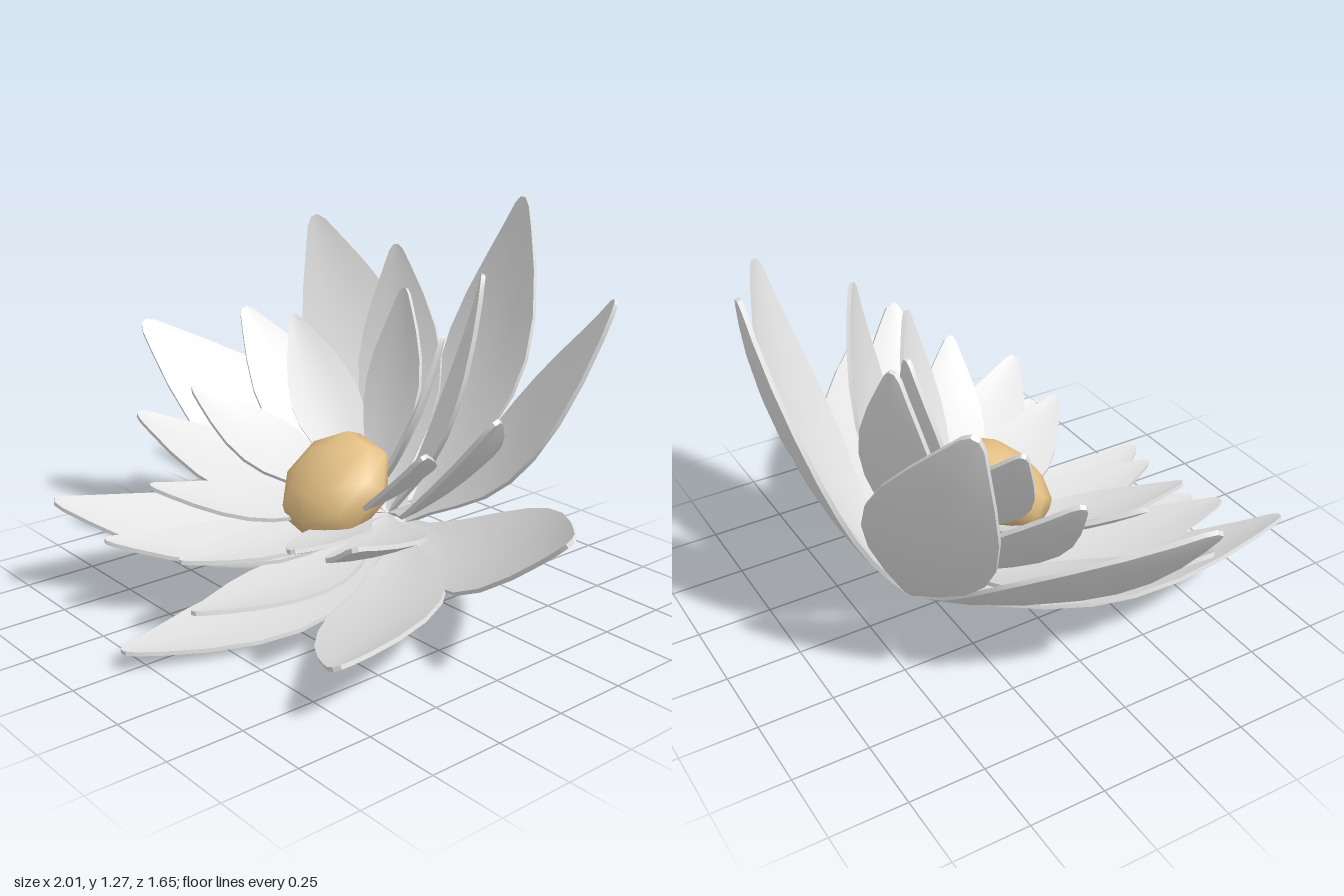
import * as THREE from 'three';
import { toCreasedNormals } from 'three/addons/utils/BufferGeometryUtils.js';

const heartAxis = new THREE.Vector3(0, 1, 1).normalize(); // the bloom tilts forward
const base = new THREE.Vector3(-0.08, 0.15, -0.39);
const heartCentre = new THREE.Vector3(0, 0.4, 0);

// Half-width along a petal: [position, share of full half-width]
const outline = [
  [0, 0.05], [0.1, 0.16], [0.22, 0.45], [0.35, 0.78], [0.47, 0.97], [0.58, 1],
  [0.7, 0.87], [0.82, 0.61], [0.92, 0.34], [0.98, 0.17], [1, 0.06],
];
const across = [-1, -0.5, 0, 0.5, 1];

// Thin, slightly cupped blade bending outward from its root to its tip
function petalGeometry(root, tip, facing, halfWidth, bulge) {
  const chord = tip.clone().sub(root);
  const length = chord.length();
  const dir = chord.clone().normalize();
  const out = dir.clone().multiplyScalar(dir.dot(facing)).sub(facing).normalize();
  const side = dir.clone().cross(out);
  const control = root.clone().addScaledVector(chord, 0.48).addScaledVector(out, length * bulge);
  const curve = new THREE.QuadraticBezierCurve3(root, control, tip);
  const positions = [], index = [];
  const ring = across.length * 2;

  for (const [t, share] of outline) {
    const centre = curve.getPoint(t);
    const w = halfWidth * share;
    const thick = 0.007;
    for (const face of [1, -1]) {
      for (const u of across) {
        const s = u * face;
        const p = centre.clone()
          .addScaledVector(side, s * w)
          .addScaledVector(out, face * thick - 0.08 * w * s * s);
        positions.push(p.x, p.y, p.z);
      }
    }
  }
  const rows = outline.length;
  for (let i = 0; i < rows - 1; i++) {
    for (let j = 0; j < ring; j++) {
      const k = (j + 1) % ring;
      const a = i * ring + j, b = i * ring + k;
      index.push(a, b, b + ring, a, b + ring, a + ring);
    }
  }
  const last = (rows - 1) * ring;
  for (let j = 1; j < ring - 1; j++) {
    index.push(0, j + 1, j, last, last + j, last + j + 1);
  }
  const geometry = new THREE.BufferGeometry();
  geometry.setAttribute('position', new THREE.Float32BufferAttribute(positions, 3));
  geometry.setIndex(index);
  return toCreasedNormals(geometry, 0.8);
}

// Petal tips of each whorl, clockwise from the back; rise moves the root towards
// the heart, tilt is the forward lean of the line the petals cup round
const whorls = [
  {
    name: 'outerPetal', rise: 0, tilt: 0.53, halfWidth: 0.205, bulge: 0.155,
    tips: [[0.03, 1.27, -0.82], [0.69, 1.06, -0.52], [1, 0.52, 0], [0.68, 0.2, 0.56],
      [-0.01, 0.06, 0.82], [-0.58, 0.35, 0.72], [-1, 0.78, 0.09], [-0.75, 1.14, -0.52]],
  },
  {
    name: 'middlePetal', rise: 0.25, tilt: 0.33, halfWidth: 0.16, bulge: 0.135,
    tips: [[-0.28, 1.1, -0.51], [0.29, 1.1, -0.36], [0.68, 0.78, -0.03], [0.59, 0.48, 0.42],
      [0.18, 0.22, 0.69], [-0.33, 0.28, 0.68], [-0.79, 0.51, 0.26], [-0.77, 0.83, -0.2]],
  },
  {
    name: 'innerPetal', rise: 0.6, tilt: 0.36, halfWidth: 0.12, bulge: 0.11,
    tips: [[-0.07, 1, -0.36], [0.32, 0.94, -0.16], [0.54, 0.67, 0.12], [0.36, 0.41, 0.46],
      [-0.02, 0.29, 0.6], [-0.34, 0.42, 0.5], [-0.63, 0.62, 0.13], [-0.5, 0.85, -0.22]],
  },
];

export function createModel() {
  const group = new THREE.Group();
  group.name = 'waterLily';
  const white = new THREE.MeshStandardMaterial({ color: 0xe3e3e3 });
  white.name = 'petalWhite';
  const gold = new THREE.MeshStandardMaterial({ color: 0xe5c185 });
  gold.name = 'heartGold';

  for (const { name, rise, tilt, halfWidth, bulge, tips } of whorls) {
    const root = base.clone().lerp(heartCentre, rise);
    const facing = new THREE.Vector3(0, Math.cos(tilt), Math.sin(tilt));
    for (const tip of tips) {
      const geometry = petalGeometry(root, new THREE.Vector3(...tip), facing, halfWidth, bulge);
      const petal = new THREE.Mesh(geometry, white);
      petal.name = name;
      group.add(petal);
    }
  }

  // Flattened faceted heart
  const heart = new THREE.Mesh(new THREE.SphereGeometry(0.203, 8, 6), gold);
  heart.name = 'flowerHeart';
  heart.scale.y = 0.6;
  heart.position.copy(heartCentre);
  heart.quaternion.setFromUnitVectors(new THREE.Vector3(0, 1, 0), heartAxis);
  heart.rotateY(0.2);
  group.add(heart);

  // Stand on the ground
  const box = new THREE.Box3().setFromObject(group, true);
  for (const part of group.children) part.position.y -= box.min.y;
  return group;
}
